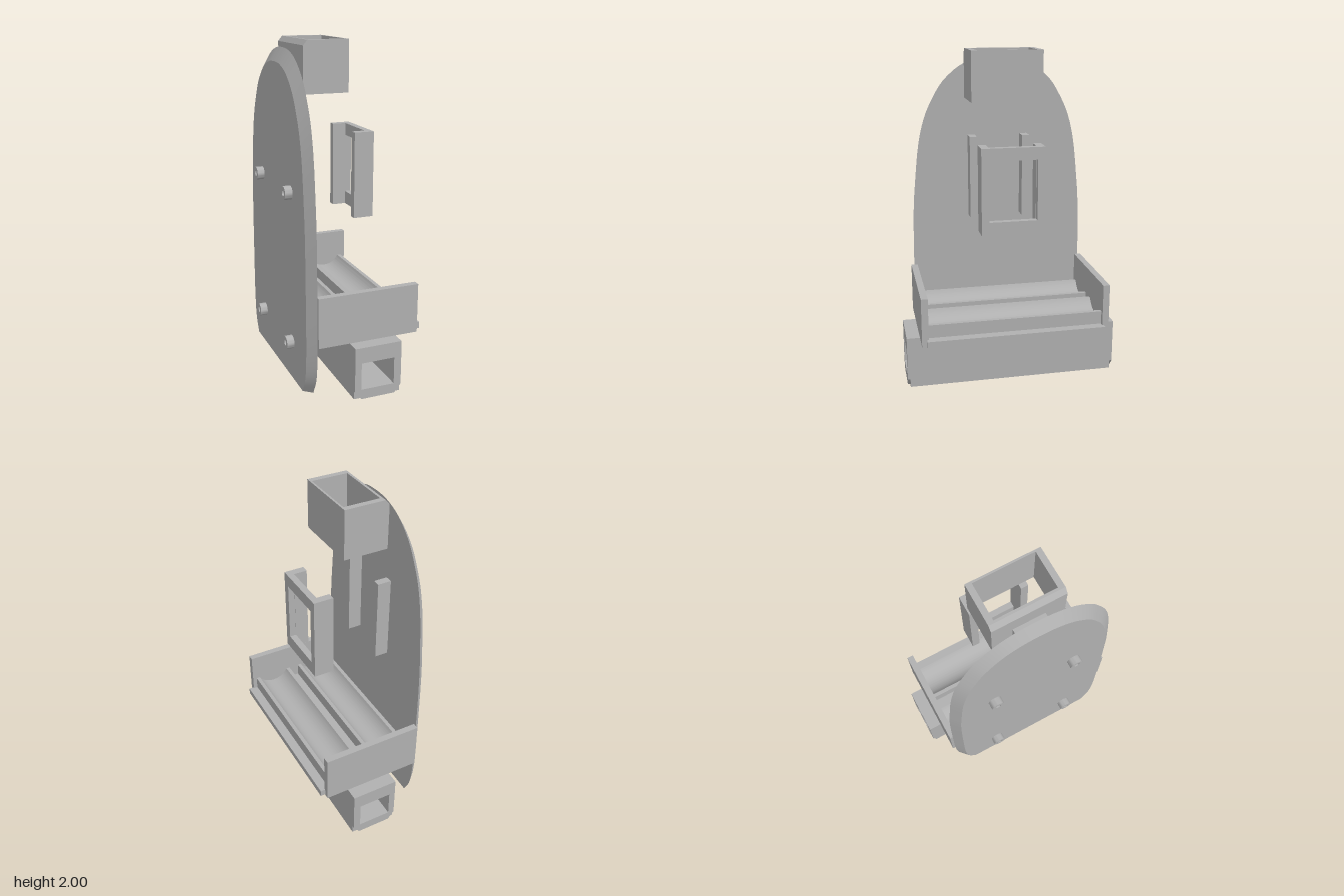
import * as THREE from 'three';
import { toCreasedNormals } from 'three/addons/utils/BufferGeometryUtils.js';

const grey = new THREE.MeshStandardMaterial({ color: 0xb0b0b0 });
grey.name = 'light grey';

export function createModel() {
  const root = new THREE.Group();
  root.name = 'wallHolder';

  const add = (name, geo, parent = root) => {
    const m = new THREE.Mesh(geo, grey);
    m.name = name;
    parent.add(m);
    return m;
  };
  const group = (name) => {
    const g = new THREE.Group();
    g.name = name;
    root.add(g);
    return g;
  };
  // Box given by its limits on each axis
  const box = (name, x0, x1, y0, y1, z0, z1, parent) => {
    const g = new THREE.BoxGeometry(x1 - x0, y1 - y0, z1 - z0);
    g.translate((x0 + x1) / 2, (y0 + y1) / 2, (z0 + z1) / 2);
    return add(name, g, parent);
  };
  const poly = (pts, Type = THREE.Shape) => new Type(pts.map(([x, y]) => new THREE.Vector2(x, y)));
  // Profile in x and y, extruded along z and centred
  const alongZ = (shape, length) => {
    const g = new THREE.ExtrudeGeometry(shape, { depth: length, bevelEnabled: false, curveSegments: 20 });
    g.translate(0, 0, -length / 2);
    return toCreasedNormals(g, 0.5);
  };
  // Profile in z and y, extruded along x from x0
  const alongX = (shape, x0, depth, edit) => {
    const g = new THREE.ExtrudeGeometry(shape, { depth, bevelEnabled: false });
    if (edit) edit(g.attributes.position);
    g.rotateY(Math.PI / 2);
    g.translate(x0, 0, 0);
    return toCreasedNormals(g, 0.5);
  };

  // Arched back plate, bevelled towards its outer face
  const half = new THREE.CatmullRomCurve3([
    [0.48, 0], [0.53, 0.1], [0.55, 0.24], [0.551, 0.62], [0.543, 1.0], [0.53, 1.16],
    [0.5, 1.42], [0.46, 1.58], [0.41, 1.69], [0.34, 1.8], [0.22, 1.9], [0.1, 1.942], [0, 1.95],
  ].map(([z, y]) => new THREE.Vector3(z, y, 0))).getPoints(40).map((p) => [p.x, p.y]);
  half[40][0] = 0;
  const outline = [...half, ...half.slice(0, -1).reverse().map(([z, y]) => [-z, y])];
  add('backPlate', alongX(poly(outline), -0.33, 0.05, (p) => {
    for (let i = 0; i < p.count; i++) {
      if (p.getZ(i) < 0.001) p.setXY(i, p.getX(i) * 0.91, p.getY(i) * 0.96);
    }
  }));

  // Four hollow mounting pegs
  const pegs = group('mountingPegs');
  const ring = [[0.018, 0], [0.018, 0.05], [0.04, 0.05], [0.04, 0], [0.018, 0]];
  for (const y of [0.24, 1.16]) {
    for (const z of [-0.2625, 0.2625]) {
      const g = new THREE.LatheGeometry(ring.map(([r, h]) => new THREE.Vector2(r, h)).reverse(), 24);
      g.rotateZ(Math.PI / 2);
      const peg = add('mountingPeg', toCreasedNormals(g.toNonIndexed(), 0.6), pegs);
      peg.material.side = THREE.DoubleSide;
      peg.position.set(-0.325, y, z);
    }
  }

  // Tray with two side walls, a front lip and two rounded troughs
  const tray = group('tray');
  box('trayFloor', -0.28, 0.34, 0.32, 0.365, -0.54, 0.54, tray);
  box('trayLip', 0.34, 0.37, 0.325, 0.365, -0.54, 0.54, tray);
  for (const s of [-1, 1]) {
    box('traySideWall', -0.28, 0.34, 0.32, 0.62, s > 0 ? 0.53 : -0.57, s > 0 ? 0.57 : -0.53, tray);
  }
  for (const cx of [-0.129, 0.188]) {
    const a = Math.atan2(0.057, 0.102);
    const s = new THREE.Shape();
    s.moveTo(cx - 0.126, 0.36);
    s.lineTo(cx + 0.126, 0.36);
    s.lineTo(cx + 0.126, 0.445);
    s.lineTo(cx + 0.102, 0.445);
    s.absarc(cx, 0.502, 0.1168, -a, -Math.PI + a, true);
    s.lineTo(cx - 0.126, 0.445);
    add('trough', alongZ(s, 1.07), tray);
  }

  // Square tube under the tray, lower corners clipped at both ends
  const tube = group('lowerTube');
  const section = poly([[-0.09, 0.05], [-0.05, 0], [0.16, 0], [0.2, 0.05], [0.2, 0.32], [-0.09, 0.32]]);
  section.holes.push(poly([[-0.05, 0.06], [-0.05, 0.225], [0.155, 0.225], [0.155, 0.06]], THREE.Path));
  add('tubeBody', alongZ(section, 1.3), tube);
  add('tubeCorner', alongZ(poly([[-0.09, 0], [-0.05, 0], [-0.09, 0.05]]), 1.27), tube);
  add('tubeCorner', alongZ(poly([[0.2, 0], [0.2, 0.05], [0.16, 0]]), 1.27), tube);

  // Open sleeve at the top with its mounting block
  const sleeve = group('topSleeve');
  add('sleeveBackWall', alongZ(poly([
    [-0.23, 1.7], [-0.19, 1.7], [-0.19, 2], [-0.205, 2], [-0.23, 1.97],
  ]), 0.43), sleeve);
  box('sleeveFrontWall', 0.033, 0.045, 1.7, 2, -0.215, 0.215, sleeve);
  for (const s of [-1, 1]) {
    box('sleeveSideWall', -0.19, 0.033, 1.7, 2, s > 0 ? 0.18 : -0.215, s > 0 ? 0.215 : -0.18, sleeve);
  }
  box('sleeveBlock', -0.28, -0.225, 1.7, 1.86, -0.095, 0.095, sleeve);

  // Window frame with return flanges, and matching rails on the plate
  const frame = group('windowFrame');
  const plate = poly([[-0.19, 0.94], [0.19, 0.94], [0.19, 1.46], [-0.19, 1.46]]);
  plate.holes.push(poly([[-0.145, 1.02], [-0.145, 1.385], [0.145, 1.385], [0.145, 1.02]], THREE.Path));
  add('framePlate', alongX(plate, 0.18, 0.04), frame);
  for (const s of [-1, 1]) {
    const [z0, z1] = s > 0 ? [0.143, 0.19] : [-0.19, -0.143];
    box('frameFlange', 0.097, 0.18, 0.94, 1.46, z0, z1, frame);
    box('plateRail', -0.28, -0.195, 0.94, 1.46, z0, z1);
  }

  return root;
}
